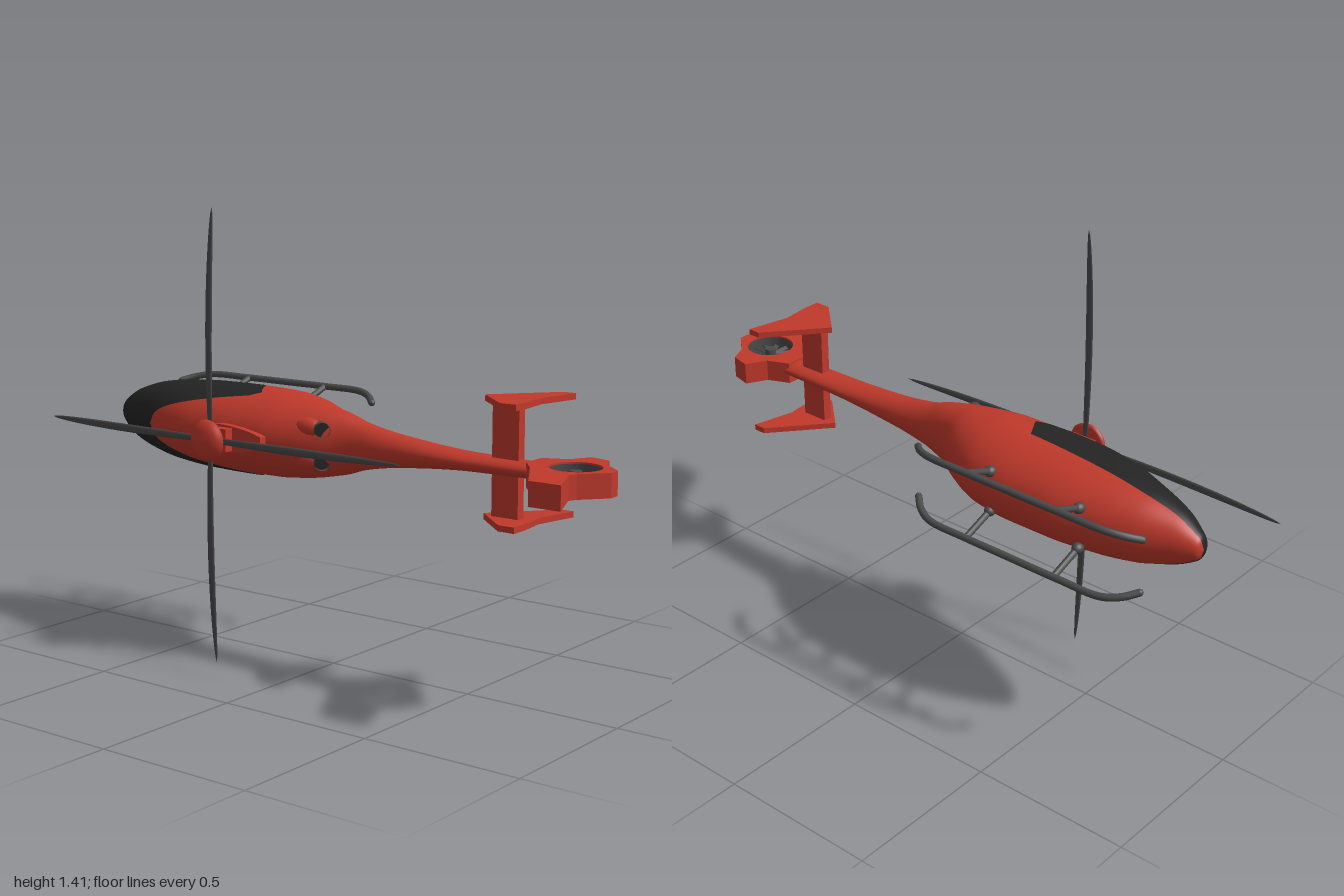
import * as THREE from 'three';
import { mergeVertices } from 'three/addons/utils/BufferGeometryUtils.js';

const CY = 0.705; // plane of symmetry; the helicopter's own "up" is +z, its nose -x
const mat = (color) => new THREE.MeshStandardMaterial({ color, side: THREE.DoubleSide });
const red = mat(0xc0392b), dark = mat(0x4a4a4a), glass = mat(0x242424);

// fuselage stations: x, top z, bottom z, half width
const STATIONS = [
  [-0.912, -0.045, -0.047, 0.001], [-0.905, -0.02, -0.067, 0.028], [-0.88, 0.002, -0.083, 0.048],
  [-0.82, 0.04, -0.108, 0.08], [-0.72, 0.083, -0.15, 0.11], [-0.6, 0.131, -0.18, 0.126],
  [-0.45, 0.165, -0.199, 0.134], [-0.3, 0.171, -0.199, 0.136], [-0.18, 0.167, -0.181, 0.134],
  [-0.05, 0.139, -0.12, 0.12], [0.03, 0.112, -0.063, 0.104], [0.08, 0.092, -0.043, 0.093],
  [0.14, 0.081, -0.032, 0.073], [0.275, 0.08, -0.025, 0.049], [0.54, 0.084, -0.016, 0.027],
  [0.78, 0.084, -0.012, 0.023],
];
// upper edge of the glazing: x, angle in degrees
const GLASS_TOP = [[-0.915, 90], [-0.66, 90], [-0.64, 75], [-0.6, 64], [-0.5, 51], [-0.24, 27]];

// monotone cubic interpolation of column k
function sample(table, k, x) {
  let i = 0;
  while (i < table.length - 2 && x > table[i + 1][0]) i++;
  const sec = (n) => (table[n + 1][k] - table[n][k]) / (table[n + 1][0] - table[n][0]);
  const slope = (n) => {
    if (n === 0) return sec(0);
    if (n === table.length - 1) return sec(n - 1);
    const a = sec(n - 1), b = sec(n);
    return a * b > 0 ? (2 * a * b) / (a + b) : 0;
  };
  const h = table[i + 1][0] - table[i][0];
  const t = THREE.MathUtils.clamp((x - table[i][0]) / h, 0, 1);
  const t2 = t * t, t3 = t2 * t;
  return (2 * t3 - 3 * t2 + 1) * table[i][k] + (t3 - 2 * t2 + t) * h * slope(i)
    + (3 * t2 - 2 * t3) * table[i + 1][k] + (t3 - t2) * h * slope(i + 1);
}

// point on the fuselage skin, lifted by "off"
function skin(x, a, off = 0) {
  const top = sample(STATIONS, 1, x), bot = sample(STATIONS, 2, x), w = sample(STATIONS, 3, x);
  return [x, CY + (w + off) * Math.cos(a), (top + bot) / 2 + ((top - bot) / 2 + off) * Math.sin(a)];
}

// surface from a rule fn(u, v), u and v in 0..1
function surface(nu, nv, fn) {
  const pos = [], idx = [];
  for (let i = 0; i <= nu; i++) for (let j = 0; j <= nv; j++) pos.push(...fn(i / nu, j / nv));
  for (let i = 0; i < nu; i++) for (let j = 0; j < nv; j++) {
    const a = i * (nv + 1) + j, b = a + nv + 1;
    idx.push(a, a + 1, b, b, a + 1, b + 1);
  }
  const g = new THREE.BufferGeometry();
  g.setAttribute('position', new THREE.Float32BufferAttribute(pos, 3));
  g.setIndex(idx);
  const merged = mergeVertices(g, 1e-5);
  merged.computeVertexNormals();
  return merged;
}

// plate drawn in x,z and given a thickness along y, centred on y
function plate(points, y, thick, hole) {
  const shape = new THREE.Shape(points.map(([x, z]) => new THREE.Vector2(x, -z)));
  if (hole) shape.holes.push(new THREE.Path().absarc(hole[0], -hole[1], hole[2], 0, Math.PI * 2, true));
  const g = new THREE.ExtrudeGeometry(shape, { depth: thick, bevelEnabled: false, curveSegments: 32 });
  return g.rotateX(-Math.PI / 2).translate(0, y - thick / 2, 0);
}

const tube = (pts, r) => new THREE.TubeGeometry(
  new THREE.CatmullRomCurve3(pts.map((p) => new THREE.Vector3(...p))), 60, r, 12);

export function createModel() {
  const model = new THREE.Group();
  const add = (name, geo, material, parent = model) => {
    const m = new THREE.Mesh(geo, material);
    m.name = name;
    parent.add(m);
    return m;
  };

  // fuselage and tail boom
  add('fuselage', surface(110, 48, (u, v) => skin(-0.912 + 1.692 * u ** 1.5, v * Math.PI * 2)), red);

  // wraparound glazing, one half per side
  for (const s of [1, -1]) {
    add(s > 0 ? 'windscreenRight' : 'windscreenLeft', surface(90, 16, (u, v) => {
      const end = v < 0.8 ? -0.29 + 0.0625 * v : -0.24 - 0.15 * (v - 0.8);
      const x = -0.914 + (end + 0.914) * u ** 1.3;
      const low = -16 + 11 * u, high = sample(GLASS_TOP, 1, x);
      const a = THREE.MathUtils.degToRad(low + (high - low) * v);
      return skin(x, s > 0 ? a : Math.PI - a, 0.003);
    }), glass);
  }

  // skids, struts and exhausts, mirrored
  for (const s of [1, -1]) {
    const gear = new THREE.Group();
    gear.name = s > 0 ? 'skidRight' : 'skidLeft';
    model.add(gear);
    const at = (x, z) => [x, CY + s * (0.107 + (-0.285 - z) * 0.38), z];
    add('runner', tube([[-0.83, -0.225], [-0.795, -0.258], [-0.74, -0.283], [-0.6, -0.287], [-0.4, -0.287],
      [-0.25, -0.287], [-0.12, -0.283], [-0.065, -0.26], [-0.025, -0.225]].map((p) => at(...p)), 0.011), dark, gear);
    for (const z of [[-0.83, -0.225], [-0.025, -0.225]])
      add('runnerEnd', new THREE.SphereGeometry(0.011, 12, 8).translate(...at(...z)), dark, gear);
    for (const x of [-0.58, -0.26]) {
      add('strut', tube([at(x, -0.285), at(x, -0.22), at(x, -0.15)], 0.01), dark, gear);
      add('strutFoot', new THREE.SphereGeometry(0.017, 16, 10).scale(1, 1, 1.2).translate(...at(x, -0.176)), dark, gear);
    }

    const exhaust = new THREE.Group();
    exhaust.name = 'exhaust';
    exhaust.position.set(0.03, CY + s * 0.049, 0.098);
    exhaust.rotation.z = -Math.PI / 2;
    exhaust.rotation.order = 'YZX';
    exhaust.rotation.y = -0.75;
    model.add(exhaust);
    add('exhaustPipe', new THREE.CylinderGeometry(0.024, 0.024, 0.05, 24, 1, true), dark, exhaust);
    add('exhaustInside', new THREE.CircleGeometry(0.023, 24).rotateX(-Math.PI / 2).translate(0, 0.01, 0), glass, exhaust);
    add('exhaustCowl', new THREE.SphereGeometry(0.031, 24, 16).scale(1.8, 1, 0.9)
      .translate(-0.02, CY + s * 0.049, 0.098), red);
  }

  // rotor mount: pointed fairing with a smaller block on top
  const rx = -0.297;
  const fairing = new THREE.Shape();
  fairing.moveTo(-0.445, CY);
  fairing.quadraticCurveTo(-0.38, CY + 0.035, rx, CY + 0.043);
  fairing.quadraticCurveTo(-0.2, CY + 0.04, -0.135, CY + 0.018);
  fairing.lineTo(-0.135, CY - 0.018);
  fairing.quadraticCurveTo(-0.2, CY - 0.04, rx, CY - 0.043);
  fairing.quadraticCurveTo(-0.38, CY - 0.035, -0.445, CY);
  add('mastFairing', new THREE.ExtrudeGeometry(fairing, { depth: 0.045, bevelEnabled: false })
    .translate(0, 0, 0.14), red);
  add('mastBlock', new THREE.BoxGeometry(0.1, 0.07, 0.03).translate(rx, CY, 0.2), red);

  // main rotor
  const rotor = new THREE.Group();
  rotor.name = 'mainRotor';
  rotor.position.set(rx, CY, 0);
  model.add(rotor);
  add('mast', new THREE.CylinderGeometry(0.018, 0.018, 0.06, 20).rotateX(Math.PI / 2).translate(0, 0, 0.215), dark, rotor);
  add('hubCap', new THREE.LatheGeometry([[0, 0.236], [0.055, 0.236], [0.064, 0.241], [0.06, 0.25], [0.048, 0.261],
    [0.028, 0.268], [0, 0.271]].map((p) => new THREE.Vector2(...p)), 32).rotateX(Math.PI / 2), red, rotor);
  const blade = surface(40, 12, (u, v) => {
    const a = v * Math.PI * 2, r = 0.703 * u;
    const taper = Math.sqrt(Math.max(0, 1 - u ** 8)) * (0.75 + 0.35 * Math.sin(Math.PI * u));
    const bow = 0.226 + 0.032 * u - 0.048 * u * u;
    return [r, 0.0115 * taper * Math.cos(a), bow + 0.0045 * taper * Math.sin(a)];
  });
  for (let k = 0; k < 4; k++) add('rotorBlade', blade, dark, rotor).rotation.z = k * Math.PI / 2;

  // horizontal stabiliser with swept end plates
  add('stabiliser', new THREE.BoxGeometry(0.088, 0.34, 0.03).translate(0.65, 0.722, 0.035), red);
  const fin = [[0.567, 0.03], [0.717, -0.148], [0.757, -0.148], [0.727, -0.01], [0.738, 0.08], [0.738, 0.137], [0.685, 0.137]];
  for (const y of [0.893, 0.551]) add('endPlate', plate(fin, y, 0.018), red);

  // tail fin with ducted fan
  const fx = 0.88, fz = 0.053, fr = 0.075, ty = 0.699;
  add('tailFin', plate([[0.735, -0.005], [0.805, -0.035], [0.84, -0.1], [0.905, -0.085], [0.93, -0.03], [0.998, 0.03],
    [0.998, 0.065], [0.935, 0.14], [0.925, 0.165], [0.98, 0.295], [0.88, 0.295], [0.785, 0.135], [0.735, 0.075]],
  ty, 0.07, [fx, fz, fr]), red);
  const fan = new THREE.Group();
  fan.name = 'tailFan';
  fan.position.set(fx, ty, fz);
  model.add(fan);
  add('fanHub', new THREE.CylinderGeometry(0.018, 0.018, 0.05, 20), dark, fan);
  add('fanRing', new THREE.CylinderGeometry(fr - 0.001, fr - 0.001, 0.06, 32, 1, true), dark, fan);
  for (let k = 0; k < 12; k++) {
    const b = add('fanBlade', new THREE.BoxGeometry(0.064, 0.004, 0.014).rotateX(0.5).translate(0.043, 0, 0), dark, fan);
    b.rotation.y = k * Math.PI / 6;
  }
  return model;
}
